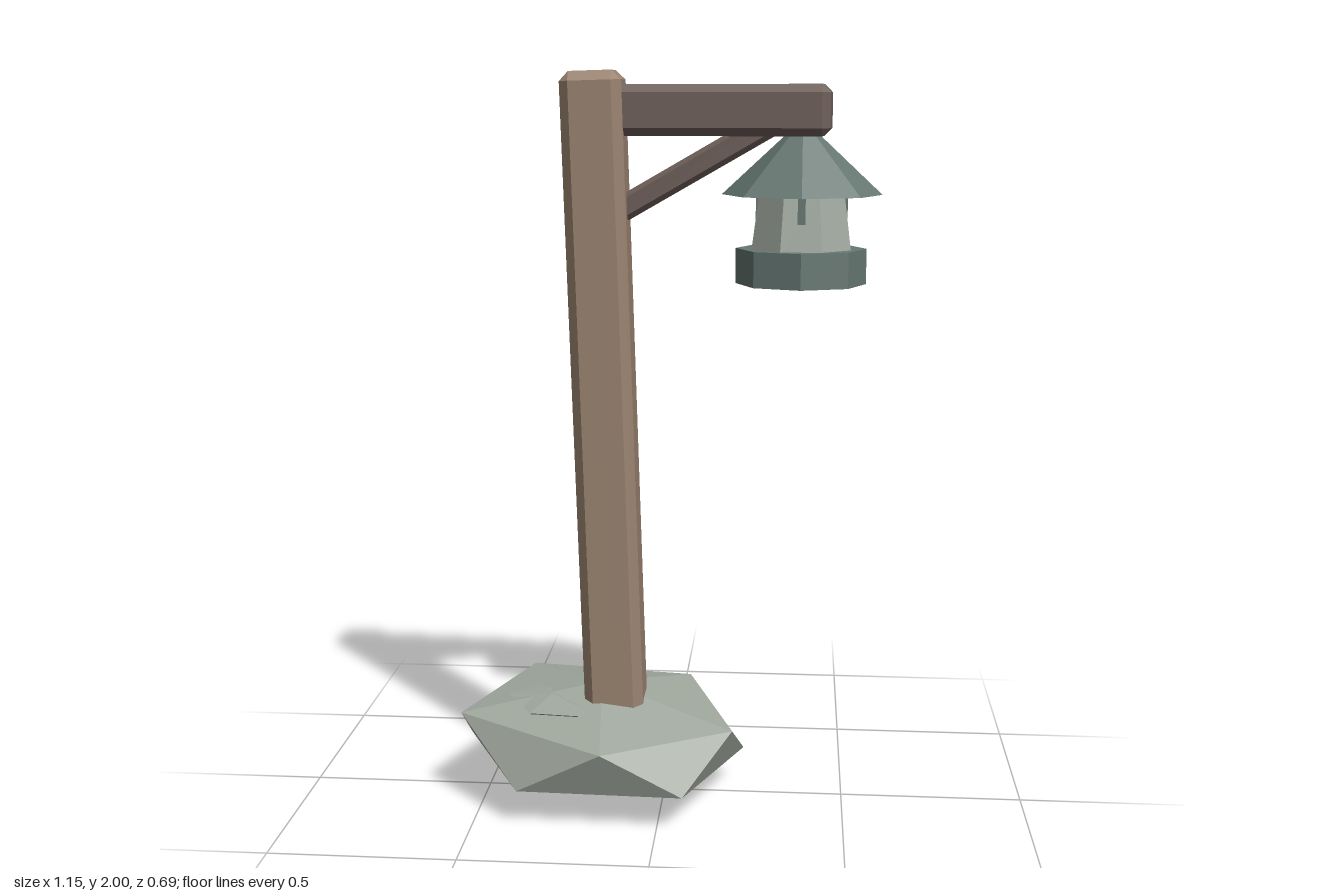
import * as THREE from 'three';
import { ConvexGeometry } from 'three/addons/geometries/ConvexGeometry.js';

const flat = (name, color) => {
  const m = new THREE.MeshStandardMaterial({ color, flatShading: true });
  m.name = name;
  return m;
};

// Convex solid from a few [x, y, z] corners
const hull = (points) => new ConvexGeometry(points.map((p) => new THREE.Vector3(...p)));

// Box with every edge chamfered by c
function chamferBox(w, h, d, c) {
  const pts = [];
  for (const x of [-1, 1]) for (const y of [-1, 1]) for (const z of [-1, 1]) {
    for (let axis = 0; axis < 3; axis++) {
      pts.push([w, h, d].map((s, i) => [x, y, z][i] * (s / 2 - (i === axis ? 0 : c))));
    }
  }
  return hull(pts);
}

export function createModel() {
  const model = new THREE.Group();
  model.name = 'lanternPost';
  const postWood = flat('post wood', 0x9a8370);
  const darkWood = flat('dark wood', 0x70615b);
  const stone = flat('stone', 0xa0a89e);
  const metal = flat('lantern metal', 0x677873);
  const glass = flat('lantern glass', 0xa3aca3);

  const add = (name, geometry, material, x = 0, y = 0, z = 0, parent = model) => {
    const mesh = new THREE.Mesh(geometry, material);
    mesh.name = name;
    mesh.position.set(x, y, z);
    parent.add(mesh);
    return mesh;
  };

  // Faceted base rock: top point, upper ring, lower ring, bottom point
  add('baseRock', hull([
    [-0.175, 0.318, 0],
    [-0.41, 0.265, -0.29], [-0.557, 0.255, 0.114], [-0.145, 0.23, 0.338],
    [0.197, 0.235, 0.145], [0.06, 0.262, -0.234],
    [-0.17, 0.115, -0.347], [-0.575, 0.105, -0.126], [-0.378, 0.1, 0.283],
    [0.07, 0.1, 0.295], [0.222, 0.105, -0.068],
    [-0.16, 0, 0.016],
  ]), stone);

  // Small stone barely breaking the rock surface
  add('smallStone', hull([
    [-0.44, 0.278, 0.01], [-0.37, 0.29, -0.033], [-0.34, 0.294, -0.02],
    [-0.2, 0.282, 0.15], [-0.22, 0.275, 0.17], [-0.36, 0.27, 0.145],
    [-0.31, 0.298, 0.06], [-0.31, 0.2, 0.06],
  ]), stone);

  // Leaning post
  const post = add('post', chamferBox(0.162, 1.8, 0.164, 0.025), postWood, -0.159, 1.098, 0.0235);
  post.rotation.z = 0.031;

  // Arm and diagonal brace, both swung slightly forward
  const arm = add('arm', chamferBox(0.64, 0.132, 0.132, 0.021), darkWood, 0.117, 1.897, 0.031);
  arm.rotation.y = -0.075;
  const brace = add('brace', chamferBox(0.57, 0.066, 0.066, 0.012), darkWood, 0.09, 1.754, 0.028);
  brace.rotation.set(0, -0.075, 0.52);

  // Eight-sided hanging lantern
  const lantern = new THREE.Group();
  lantern.name = 'lantern';
  lantern.position.set(0.363, 0, 0.022);
  model.add(lantern);
  add('lanternRoof', new THREE.ConeGeometry(0.21, 0.195, 8), metal, 0, 1.7775, 0, lantern);
  add('lanternBase', new THREE.CylinderGeometry(0.172, 0.172, 0.093, 8), metal, 0, 1.493, 0, lantern);
  const pane = add('lanternGlass', new THREE.CylinderGeometry(0.119, 0.14, 0.15, 8), glass, 0, 1.612, 0, lantern);
  pane.rotation.y = Math.PI / 8;

  // Upright bars emerging from the sloping glass
  for (let i = 0; i < 4; i++) {
    const a = (i * Math.PI) / 2;
    const bar = add('lanternBar', new THREE.BoxGeometry(0.02, 0.15, 0.02), metal,
      Math.sin(a) * 0.11, 1.612, Math.cos(a) * 0.11, lantern);
    bar.rotation.y = a;
  }
  return model;
}
